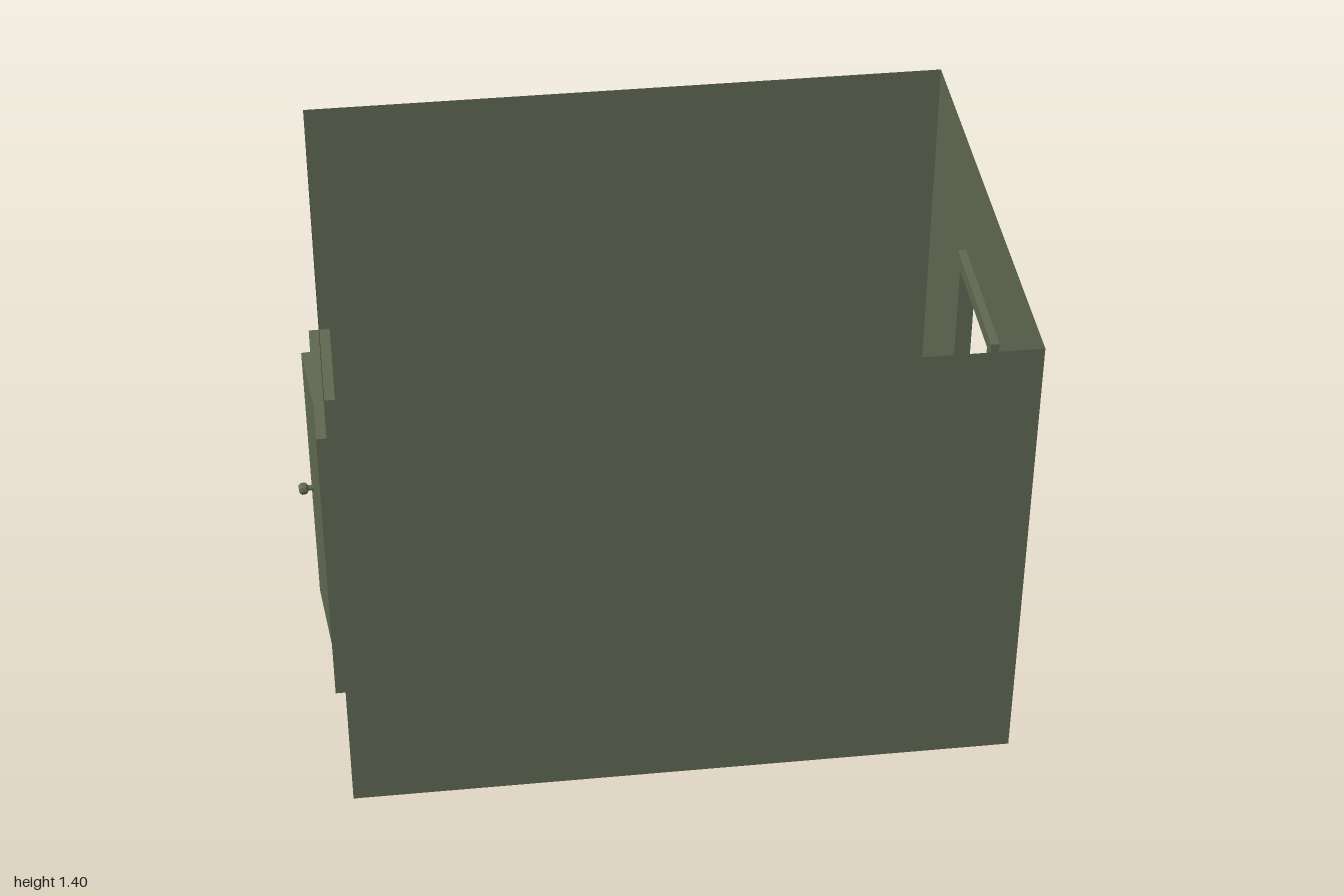
import * as THREE from 'three';

const X0 = -0.905, X1 = 0.975, Z = 0.705, H = 1.405;

// Rectangle outline, centred across and running from y0 to y1
function rect(half, y0, y1, Type = THREE.Shape) {
  const s = new Type();
  s.moveTo(-half, y0);
  s.lineTo(half, y0);
  s.lineTo(half, y1);
  s.lineTo(-half, y1);
  s.closePath();
  return s;
}

export function createModel() {
  const group = new THREE.Group();
  group.name = 'room';
  const green = new THREE.MeshStandardMaterial({ color: 0x5f6852, side: THREE.DoubleSide, flatShading: true });
  green.name = 'olive green';

  function add(name, geometry, parent = group) {
    const mesh = new THREE.Mesh(geometry, green);
    mesh.name = name;
    parent.add(mesh);
    return mesh;
  }

  // Floor and the two plain walls
  const floor = add('floor', new THREE.PlaneGeometry(X1 - X0, 2 * Z));
  floor.rotation.x = -Math.PI / 2;
  floor.position.x = (X0 + X1) / 2;
  for (const [name, side] of [['frontWall', 1], ['backWall', -1]]) {
    const wall = add(name, new THREE.PlaneGeometry(X1 - X0, H));
    wall.position.set((X0 + X1) / 2, H / 2, side * Z);
    if (side < 0) wall.rotation.y = Math.PI;
  }

  // End walls with openings
  const windowWall = rect(Z, 0, H);
  windowWall.holes.push(rect(0.2, 0.38, 1.06, THREE.Path));
  const left = add('windowWall', new THREE.ShapeGeometry(windowWall));
  left.rotation.y = Math.PI / 2;
  left.position.x = X1;

  const doorWall = new THREE.Shape([
    [-Z, 0], [-0.23, 0], [-0.23, 0.915], [0.23, 0.915], [0.23, 0], [Z, 0], [Z, H], [-Z, H],
  ].map(([x, y]) => new THREE.Vector2(x, y)));
  const right = add('doorWall', new THREE.ShapeGeometry(doorWall));
  right.rotation.y = -Math.PI / 2;
  right.position.x = X0;

  // Window frame and inner sill
  const frameShape = rect(0.235, 0.358, 1.08);
  frameShape.holes.push(rect(0.19, 0.395, 1.04, THREE.Path));
  const frame = add('windowFrame', new THREE.ExtrudeGeometry(frameShape, { depth: 0.048, bevelEnabled: false }));
  frame.rotation.y = Math.PI / 2;
  frame.position.x = 0.951;
  const sill = add('windowSill', new THREE.BoxGeometry(0.07, 0.037, 0.47));
  sill.position.set(0.916, 0.3765, 0);

  // Door frame, open at the floor
  const jambs = new THREE.Shape([
    [-0.258, 0], [-0.213, 0], [-0.213, 0.896], [0.213, 0.896], [0.213, 0], [0.258, 0], [0.258, 0.94], [-0.258, 0.94],
  ].map(([x, y]) => new THREE.Vector2(x, y)));
  const doorFrame = add('doorFrame', new THREE.ExtrudeGeometry(jambs, { depth: 0.06, bevelEnabled: false }));
  doorFrame.rotation.y = Math.PI / 2;
  doorFrame.position.x = -0.935;

  // Door standing slightly ajar on its hinge
  const door = new THREE.Group();
  door.name = 'door';
  door.position.set(-0.92, 0, 0.21);
  door.rotation.y = 0.097;
  group.add(door);
  const panel = add('doorPanel', new THREE.BoxGeometry(0.028, 0.893, 0.425), door);
  panel.position.set(0.014, 0.4475, -0.2135);

  // A knob on each face of the door
  const profile = [[0.008, 0], [0.008, 0.014], [0.017, 0.02], [0.018, 0.034], [0.012, 0.041], [0, 0.042]]
    .map(([r, y]) => new THREE.Vector2(r, y));
  for (const [name, x, turn] of [['outerKnob', 0, 1], ['innerKnob', 0.028, -1]]) {
    const knob = add(name, new THREE.LatheGeometry(profile, 8), door);
    knob.rotation.z = turn * Math.PI / 2;
    knob.position.set(x, 0.43, -0.388);
  }
  return group;
}
